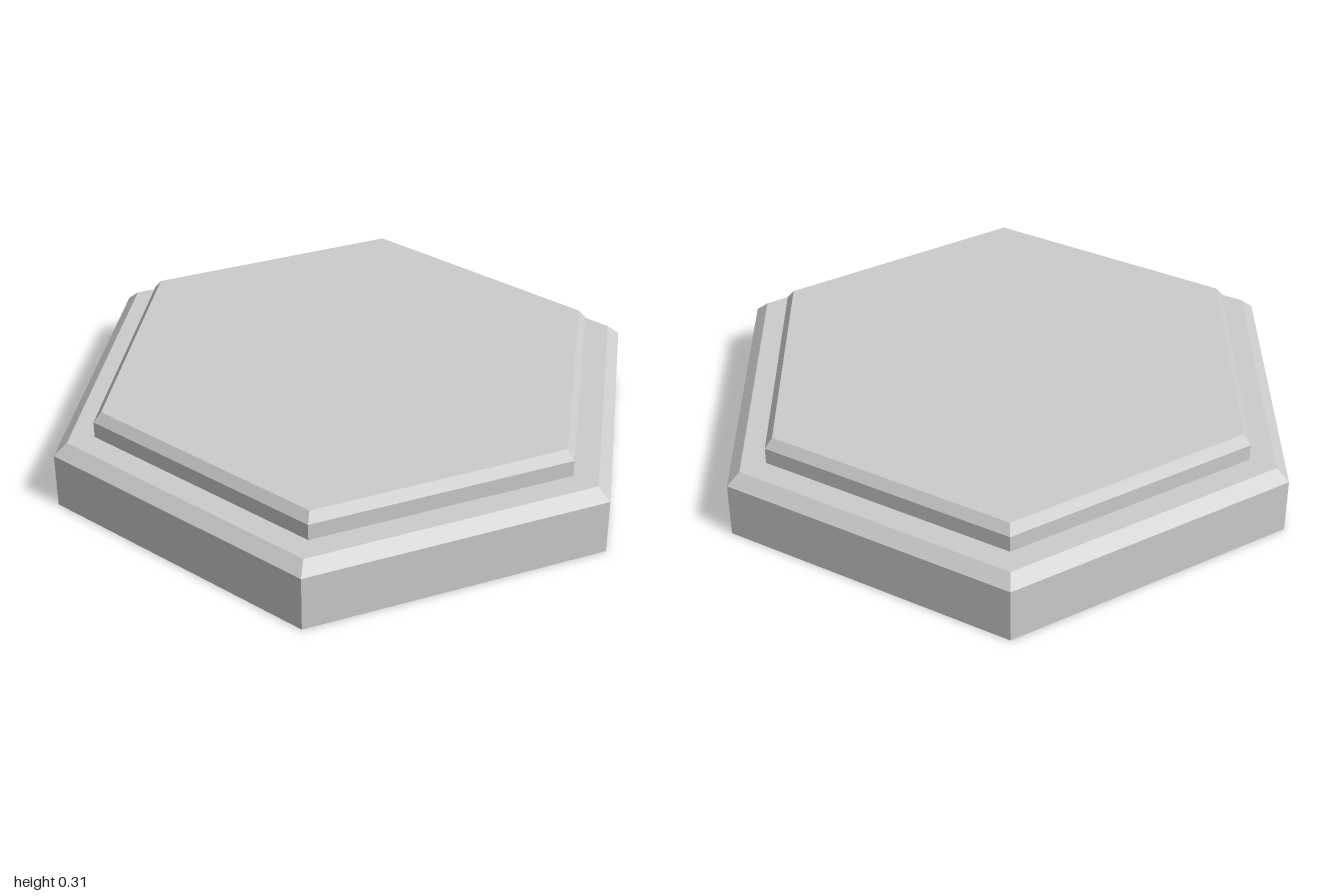
import * as THREE from 'three';

const material = new THREE.MeshStandardMaterial({ color: 0xcccccc, flatShading: true });

// Six-sided slab with a chamfered top edge; corners point along +x and -x
function hexTier(name, radius, topRadius, bottom, shoulder, top) {
  const profile = [
    [0, bottom], [radius, bottom], [radius, shoulder], [topRadius, top], [0, top],
  ].map(([r, y]) => new THREE.Vector2(r, y));
  const geometry = new THREE.LatheGeometry(profile, 6, Math.PI / 6).toNonIndexed();
  geometry.computeVertexNormals();
  const mesh = new THREE.Mesh(geometry, material);
  mesh.name = name;
  return mesh;
}

export function createModel() {
  const model = new THREE.Group();
  model.name = 'hexagonalPlinth';
  // Wide lower slab
  model.add(hexTier('baseTier', 1, 0.955, 0, 0.187, 0.225));
  // Smaller raised slab
  model.add(hexTier('upperTier', 0.865, 0.838, 0.225, 0.28, 0.312));
  return model;
}
